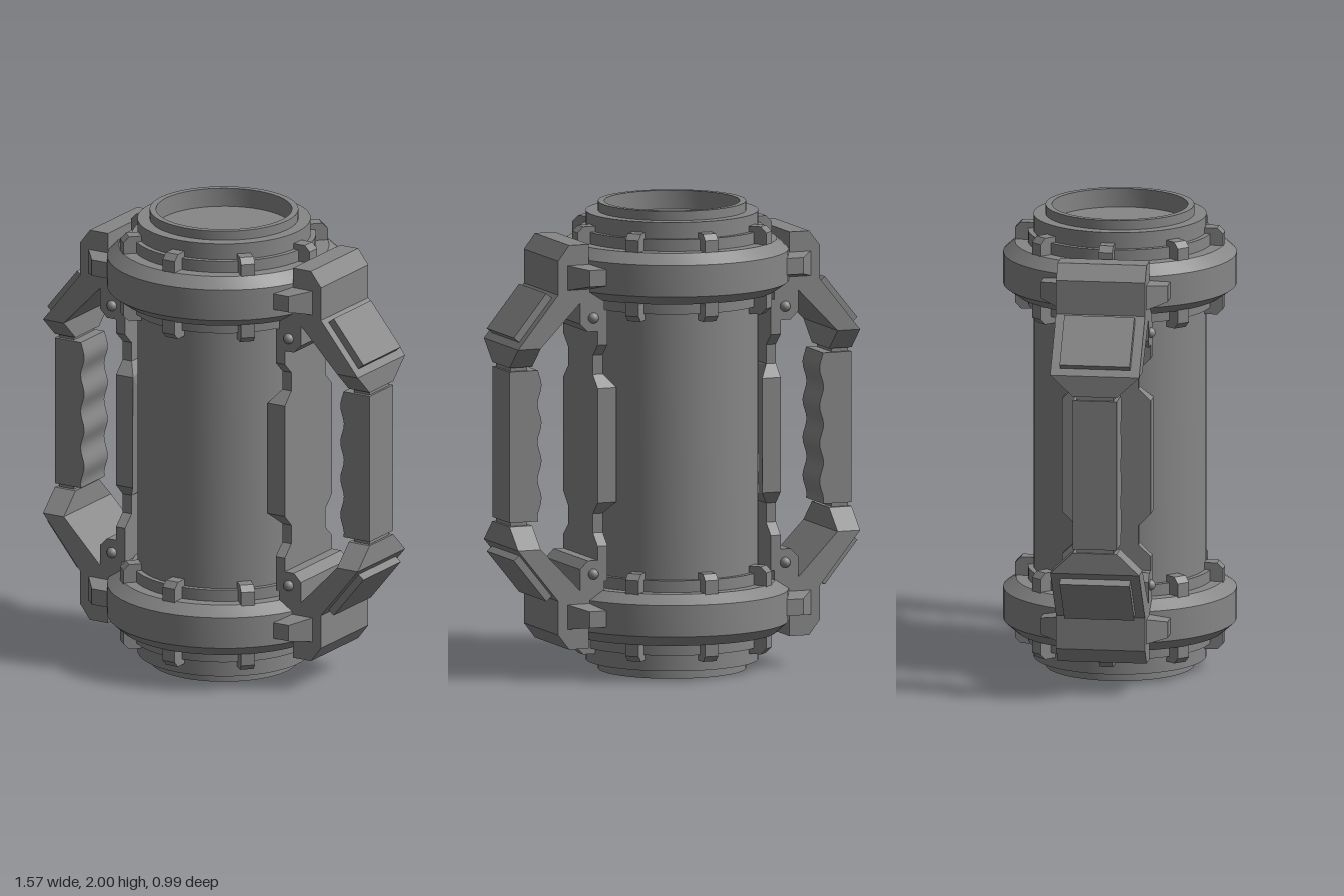
import * as THREE from 'three';
import { toCreasedNormals } from 'three/addons/utils/BufferGeometryUtils.js';

const material = new THREE.MeshStandardMaterial({ color: 0x868686 });

function add(parent, name, geometry) {
  const mesh = new THREE.Mesh(geometry, material);
  mesh.name = name;
  parent.add(mesh);
  return mesh;
}

// Profile of [radius, y] pairs, running upwards on the outside
function lathe(profile) {
  const points = profile.map(([r, y]) => new THREE.Vector2(r, y));
  return toCreasedNormals(new THREE.LatheGeometry(points, 48), 0.4);
}

// Outline in x, y extruded symmetrically about z = 0
function slab(outline, depth) {
  const shape = new THREE.Shape(outline.map(([x, y]) => new THREE.Vector2(x, y)));
  return new THREE.ExtrudeGeometry(shape, { depth, bevelEnabled: false }).translate(0, 0, -depth / 2);
}

// Outline in z, y (right half, bottom to top) mirrored and extruded from x0 to x1
function sidePlate(half, x0, x1) {
  const outline = [...half, ...half.map(([z, y]) => [-z, y]).reverse()];
  return slab(outline, x1 - x0).rotateY(Math.PI / 2).translate((x0 + x1) / 2, 0, 0);
}

// One end of the canister: collar, band and clips (upper end)
function createEnd() {
  const end = new THREE.Group();
  add(end, 'collar', lathe([[0.35, 1.57], [0.39, 1.57], [0.39, 1.89], [0.35, 1.89]]));
  add(end, 'band', lathe([
    [0.37, 1.62], [0.44, 1.62], [0.495, 1.66], [0.495, 1.795], [0.445, 1.84], [0.37, 1.84],
  ]));
  const upperClip = slab([[0.36, 1.82], [0.445, 1.82], [0.445, 1.89], [0.42, 1.915], [0.36, 1.915]], 0.06);
  const lowerClip = slab([[0.36, 1.54], [0.42, 1.54], [0.445, 1.565], [0.445, 1.64], [0.36, 1.64]], 0.06);
  for (let i = 0; i < 8; i++) {
    add(end, 'upperClip', upperClip).rotation.y = i * Math.PI / 4;
    add(end, 'lowerClip', lowerClip).rotation.y = i * Math.PI / 4;
  }
  return end;
}

// Upper bracket holding one end of a grip, on the +x side
function createBracket() {
  const bracket = new THREE.Group();
  add(bracket, 'bracketArm', slab([
    [0.46, 1.865], [0.46, 1.7], [0.39, 1.62], [0.39, 1.525], [0.415, 1.49], [0.465, 1.49], [0.5, 1.525],
    [0.5, 1.615], [0.68, 1.43], [0.783, 1.43], [0.6, 1.655], [0.6, 1.8], [0.55, 1.865],
  ], 0.38));

  // Tapered end of the arm, narrowing towards the grip
  add(bracket, 'bracketTab', sidePlate([[0.095, 1.34], [0.19, 1.43]], 0.68, 0.783));
  add(bracket, 'gripPin', new THREE.BoxGeometry(0.075, 0.04, 0.16).translate(0.735, 1.33, 0));

  // Raised pad on the sloping face
  const pad = add(bracket, 'bracketPad', new THREE.BoxGeometry(0.235, 0.05, 0.3));
  pad.position.set(0.693, 1.552, 0);
  pad.rotation.z = -Math.atan2(0.225, 0.183);

  for (const side of [1, -1]) {
    // Wedge lug gripping the band: base on the arm, smaller outer face
    const lug = new THREE.BoxGeometry(1, 1, 0.14);
    const p = lug.attributes.position;
    for (let i = 0; i < p.count; i++) {
      const outer = p.getZ(i) * side > 0;
      const right = p.getX(i) > 0, up = p.getY(i) > 0;
      p.setXYZ(i,
        right ? (outer ? 0.49 : 0.565) : 0.415,
        up ? (outer ? 1.765 : 1.78) : (outer ? 1.695 : 1.67),
        side * (outer ? 0.272 : 0.18));
    }
    lug.computeVertexNormals();
    add(bracket, 'bandLug', lug);

    // Round bolt head
    add(bracket, 'bolt', new THREE.SphereGeometry(0.023, 16, 10).translate(0.44, 1.548, side * 0.19));
  }
  return bracket;
}

// Same part turned over about the middle height for the lower end
function addBothEnds(parent, name, create) {
  const upper = create();
  upper.name = 'upper' + name;
  const lower = create();
  lower.name = 'lower' + name;
  lower.rotation.x = Math.PI;
  lower.position.y = 2;
  parent.add(upper, lower);
}

function createHandle() {
  const handle = new THREE.Group();
  addBothEnds(handle, 'Bracket', createBracket);

  // Grip with finger waves on its inner side
  const grip = [[0.783, 0.677], [0.783, 1.323]];
  const steps = 32;
  for (let i = 0; i <= steps; i++) {
    const t = i / steps;
    grip.push([0.646 - 0.009 * Math.cos((t * 4 - 0.4) * 2 * Math.PI), 1.323 - 0.646 * t]);
  }
  add(handle, 'grip', toCreasedNormals(slab(grip, 0.19), 0.5));

  // Guard strip along the body, with a shallow waist above and below the panel
  add(handle, 'guardStrip', sidePlate([
    [0.19, 0.42], [0.19, 0.57], [0.137, 0.62], [0.137, 0.702], [0.19, 0.755],
    [0.19, 1.245], [0.137, 1.298], [0.137, 1.38], [0.19, 1.43], [0.19, 1.58],
  ], 0.375, 0.42));

  // Thicker middle panel, thinning out at its upper and lower ends
  const panel = sidePlate([
    [0.137, 0.702], [0.19, 0.755], [0.19, 1.245], [0.137, 1.298],
  ], 0.335, 0.419);
  const p = panel.attributes.position;
  for (let i = 0; i < p.count; i++) {
    if (Math.abs(p.getZ(i)) < 0.15 && p.getX(i) < 0.375) p.setX(i, 0.375);
  }
  panel.computeVertexNormals();
  add(handle, 'guardPanel', panel);
  return handle;
}

export function createModel() {
  const model = new THREE.Group();
  model.name = 'canister';

  // Main cylinder with a stepped rim and a recess at each end
  const lowerHalf = [[0, 0.08], [0.288, 0.08], [0.288, 0], [0.315, 0], [0.315, 0.04], [0.367, 0.04]];
  const upperHalf = lowerHalf.map(([r, y]) => [r, 2 - y]).reverse();
  add(model, 'body', lathe([...lowerHalf, ...upperHalf]));
  addBothEnds(model, 'End', createEnd);

  // Handles on both sides
  const left = createHandle();
  left.name = 'leftHandle';
  const right = createHandle();
  right.name = 'rightHandle';
  right.rotation.y = Math.PI;
  model.add(left, right);
  return model;
}
